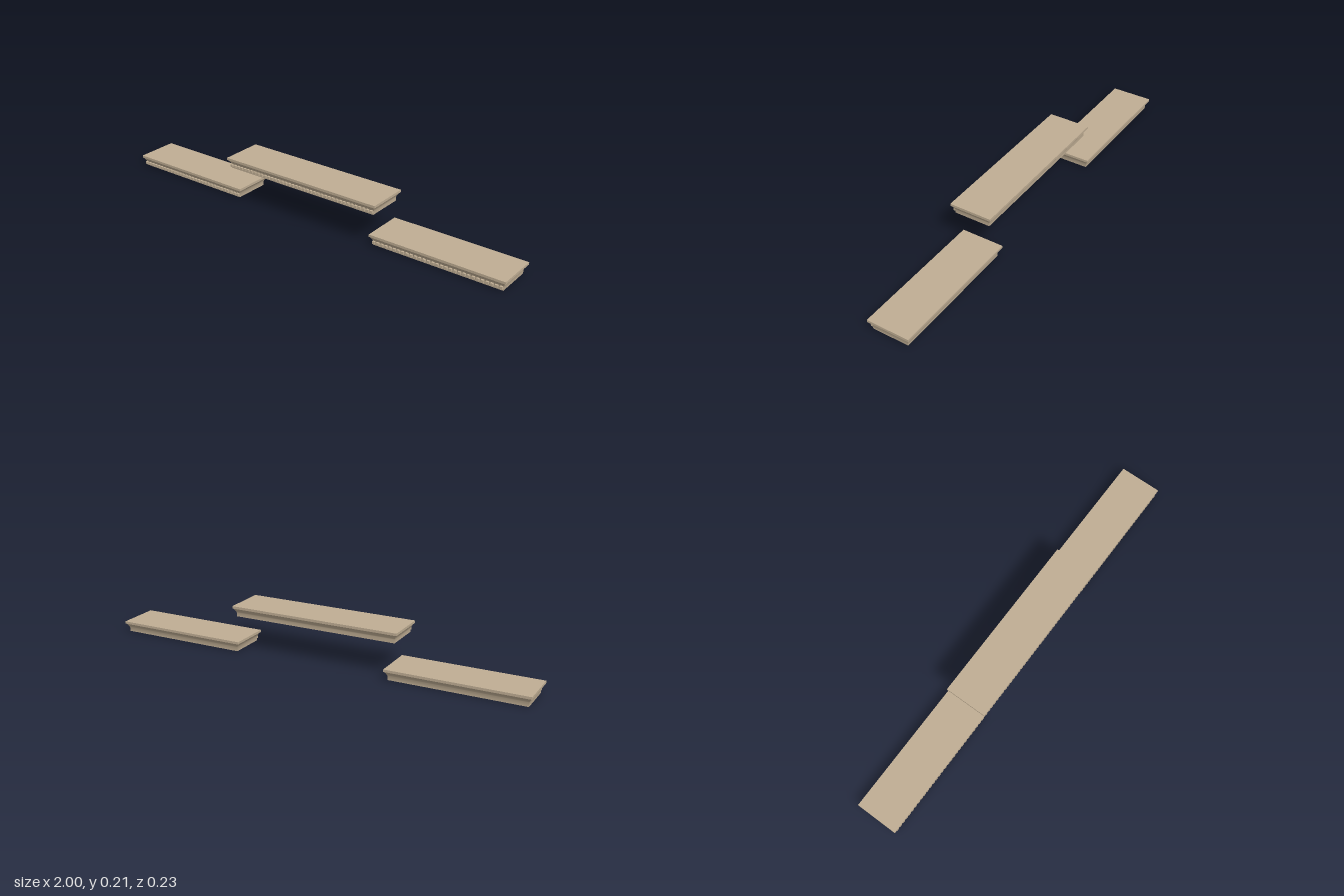
import * as THREE from 'three';
import { toCreasedNormals } from 'three/addons/utils/BufferGeometryUtils.js';

const material = new THREE.MeshStandardMaterial({ color: 0xbfad93 });
const DEPTH = 0.198, BASE_INSET = 0.0145, SLAB_BOTTOM = 0.039, HEIGHT = 0.05;

// Moulding profile as [inset, height]: plain base, concave cove, small fillet
function mouldingProfile() {
  const profile = [[BASE_INSET, 0], [BASE_INSET, 0.017]];
  const steps = 8, top = [0.003, 0.0375];
  const cove = new THREE.QuadraticBezierCurve(
    new THREE.Vector2(BASE_INSET, 0.017),
    new THREE.Vector2(0.0105, 0.029),
    new THREE.Vector2(...top));
  for (let i = 1; i <= steps; i++) {
    const p = cove.getPoint(i / steps);
    profile.push([p.x, p.y]);
  }
  profile.push([0.003, SLAB_BOTTOM]);
  return profile;
}

// Sweep a profile round a rectangle with mitred corners, closed at both ends
function mitredBody(width, depth, profile) {
  const positions = [], index = [];
  for (const [inset, y] of profile) {
    const x = width / 2 - inset, z = depth / 2 - inset;
    positions.push(-x, y, z, x, y, z, x, y, -z, -x, y, -z);
  }
  for (let r = 0; r < profile.length - 1; r++) {
    for (let c = 0; c < 4; c++) {
      const a = r * 4 + c, b = r * 4 + (c + 1) % 4;
      index.push(a, b, b + 4, a, b + 4, a + 4);
    }
  }
  const t = (profile.length - 1) * 4;
  index.push(0, 2, 1, 0, 3, 2, t, t + 1, t + 2, t, t + 2, t + 3);
  const geometry = new THREE.BufferGeometry();
  geometry.setAttribute('position', new THREE.Float32BufferAttribute(positions, 3));
  geometry.setIndex(index);
  return toCreasedNormals(geometry, Math.PI / 6);
}

function createShelf(name, width, dentilCount) {
  const shelf = new THREE.Group();
  shelf.name = name;

  const body = new THREE.Mesh(mitredBody(width, DEPTH, mouldingProfile()), material);
  body.name = 'coveMoulding';
  shelf.add(body);

  const slab = new THREE.Mesh(
    new THREE.BoxGeometry(width, HEIGHT - SLAB_BOTTOM, DEPTH), material);
  slab.name = 'topSlab';
  slab.position.y = (HEIGHT + SLAB_BOTTOM) / 2;
  shelf.add(slab);

  // Row of small blocks along the front
  const dentils = new THREE.Group();
  dentils.name = 'dentils';
  const run = width - 2 * BASE_INSET, pitch = run / (dentilCount - 0.4);
  const block = new THREE.BoxGeometry(pitch * 0.6, 0.012, 0.012);
  for (let i = 0; i < dentilCount; i++) {
    const dentil = new THREE.Mesh(block, material);
    dentil.name = 'dentil';
    dentil.position.set(-run / 2 + pitch * (i + 0.3), 0.015, DEPTH / 2 - BASE_INSET + 0.005);
    dentils.add(dentil);
  }
  shelf.add(dentils);
  return shelf;
}

export function createModel() {
  const model = new THREE.Group();
  model.name = 'wallShelves';

  // Lower pair
  for (const side of [-1, 1]) {
    const shelf = createShelf(side > 0 ? 'leftShelf' : 'rightShelf', 0.64, 30);
    shelf.position.set(side * 0.68, 0, -0.0145);
    model.add(shelf);
  }

  // Raised centre shelf
  const centre = createShelf('centreShelf', 0.808, 40);
  centre.position.set(0, 0.157, 0.0145);
  model.add(centre);
  return model;
}
